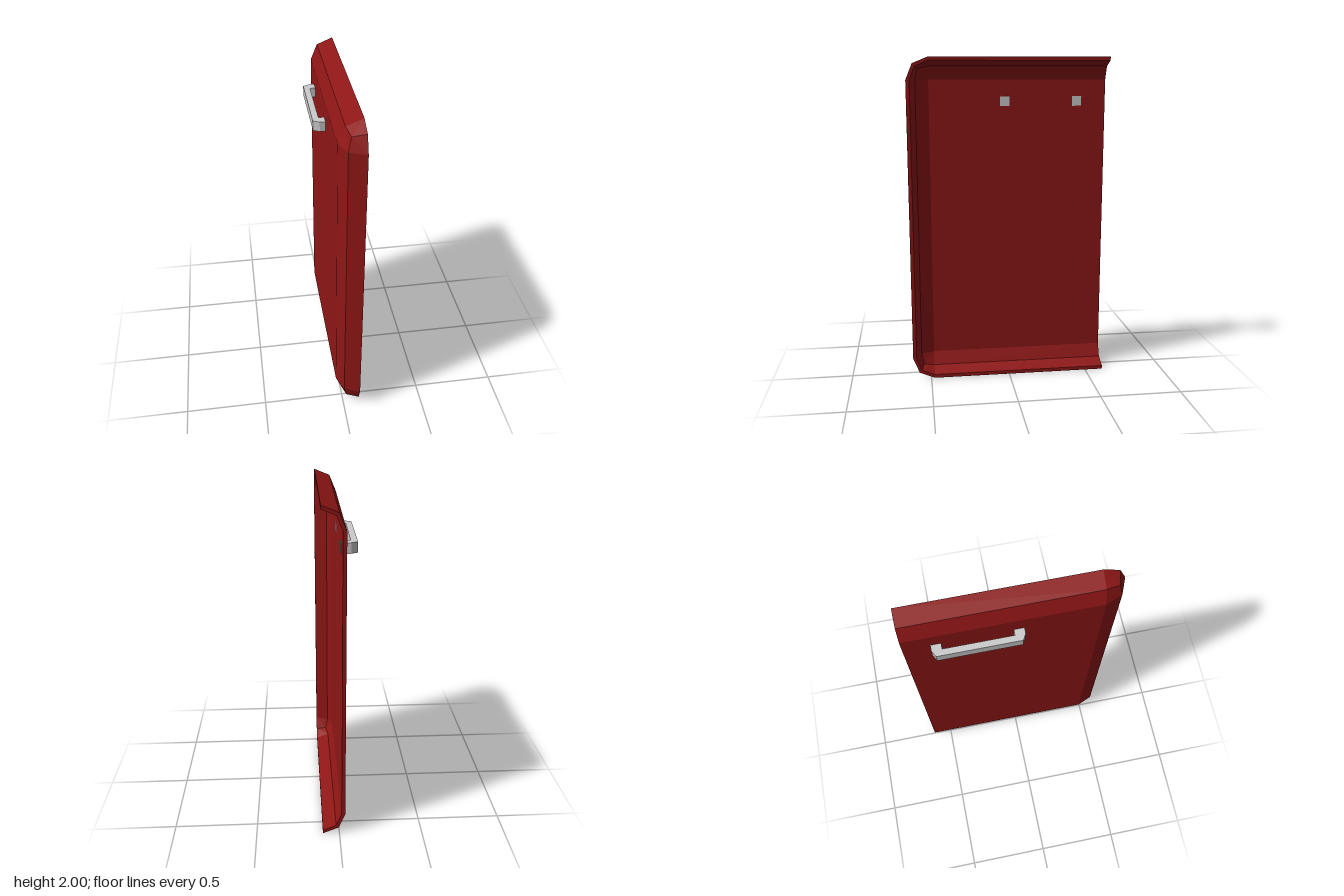
import * as THREE from 'three';

const RIM_X = 0.1, TOP = 2, HALF_DEPTH = 0.613;
const OUTER = 0.135, INNER = 0.113; // bevel radii of the two skins

// One skin of the panel: rows run back to front, columns bottom rim to top rim
function skin(r) {
  const low = OUTER, high = TOP - OUTER, zc = HALF_DEPTH - OUTER;
  const m = r * Math.SQRT1_2, c = r / Math.sqrt(3);
  // offsets [inward x, outward y, forward z] for the lower half of each row
  const edge = [[0, r, 0], [m, m, 0], [r, 0, 0]];
  const rows = [
    { z: -HALF_DEPTH, pts: edge },
    { z: zc, pts: edge },
    { z: zc, pts: [[0, m, m], [c, c, c], [m, 0, m]] },
    { z: zc, pts: [[0, 0, r], [0, 0, r], [0, 0, r]] },
  ];
  return rows.map(({ z, pts }) => [
    ...pts.map(([x, y, dz]) => new THREE.Vector3(RIM_X - x, low - y, z + dz)),
    ...[...pts].reverse().map(([x, y, dz]) => new THREE.Vector3(RIM_X - x, high + y, z + dz)),
  ]);
}

function panelGeometry() {
  const out = skin(OUTER), inn = skin(INNER);
  const positions = [];
  const tri = (a, b, c) => {
    if (a.equals(b) || b.equals(c) || c.equals(a)) return; // collapsed corner
    for (const p of [a, b, c]) positions.push(p.x, p.y, p.z);
  };
  // the split runs b-d so the corner facets stay symmetric
  const quad = (a, b, c, d) => { tri(a, b, d); tri(b, c, d); };

  // Outer and inner skins
  for (let i = 0; i < 3; i++) {
    for (let j = 0; j < 5; j++) {
      quad(out[i][j], out[i + 1][j], out[i + 1][j + 1], out[i][j + 1]);
      quad(inn[i][j], inn[i][j + 1], inn[i + 1][j + 1], inn[i + 1][j]);
    }
  }
  // Rim joining both skins around the open border
  const border = [];
  for (let i = 0; i < 3; i++) border.push([i, 0]);
  for (let j = 0; j < 5; j++) border.push([3, j]);
  for (let i = 3; i > 0; i--) border.push([i, 5]);
  for (let j = 5; j > 0; j--) border.push([0, j]);
  border.forEach(([i, j], k) => {
    const [p, q] = border[(k + 1) % border.length];
    quad(out[p][q], out[i][j], inn[i][j], inn[p][q]);
  });

  const geo = new THREE.BufferGeometry();
  geo.setAttribute('position', new THREE.Float32BufferAttribute(positions, 3));
  geo.computeVertexNormals();
  return geo;
}

// Bracket handle with chamfered outer corners, drawn in plan and extruded upward
function handleGeometry() {
  const half = 0.253, post = 0.058;
  const side = [[-0.01, half - post], [-0.01, half], [-0.068, half], [-0.105, half - 0.02]];
  const mirrored = side.map(([x, z]) => [x, -z]).reverse();
  const outline = [
    [-0.068, half - post], ...side, ...mirrored, [-0.068, post - half],
  ].map(([x, z]) => new THREE.Vector2(x, z));
  const geo = new THREE.ExtrudeGeometry(new THREE.Shape(outline), { depth: 0.06, bevelEnabled: false });
  geo.rotateX(-Math.PI / 2);
  return geo;
}

export function createModel() {
  const group = new THREE.Group();
  group.name = 'doorPanel';

  const panel = new THREE.Mesh(
    panelGeometry(),
    new THREE.MeshStandardMaterial({ color: 0x8f1616, flatShading: true }),
  );
  panel.name = 'panel';

  const handle = new THREE.Mesh(
    handleGeometry(),
    new THREE.MeshStandardMaterial({ color: 0xcccccc, flatShading: true }),
  );
  handle.name = 'handle';
  handle.position.set(0, 1.705, -0.21);

  group.add(panel, handle);
  return group;
}
